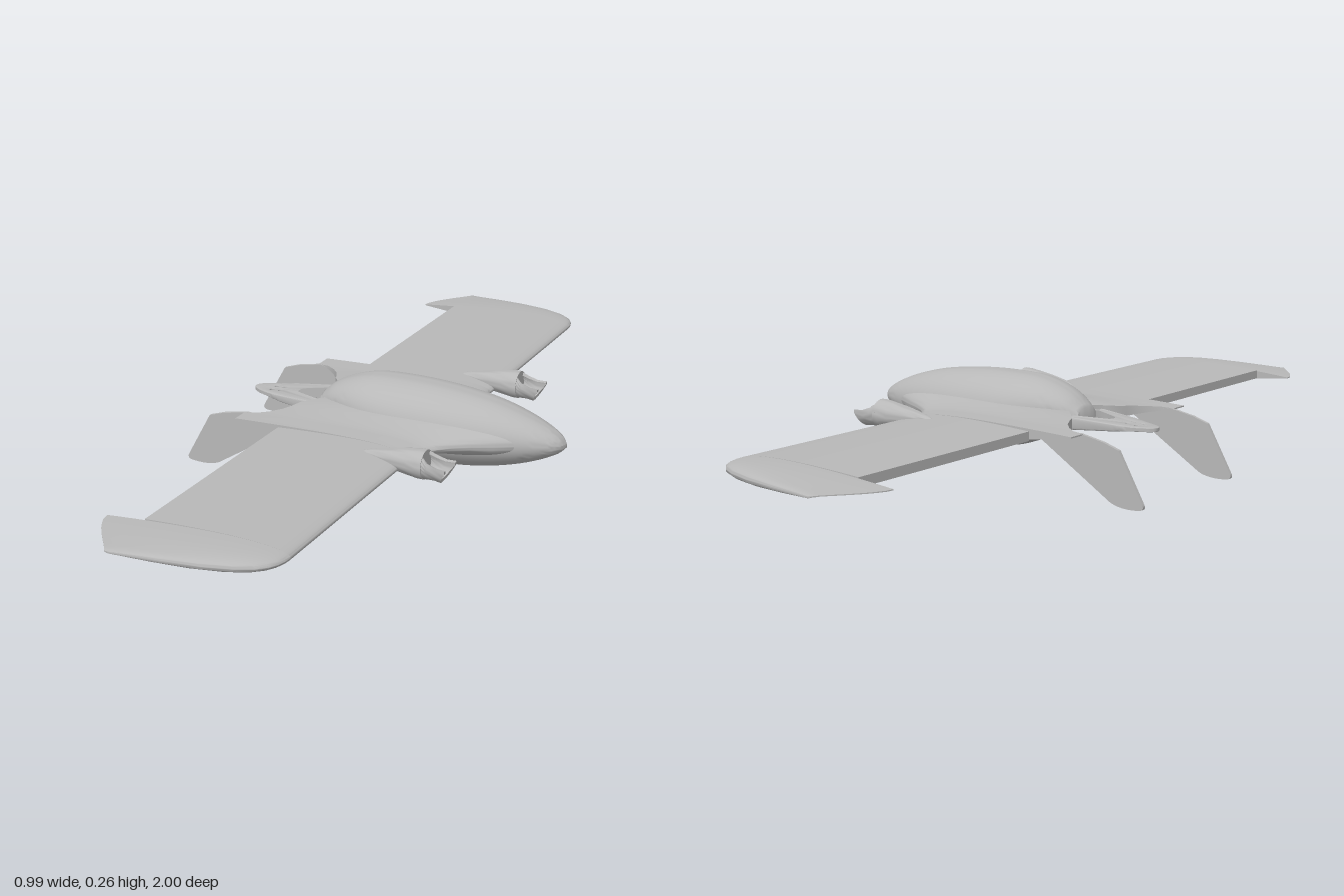
import * as THREE from 'three';
import { toCreasedNormals } from 'three/addons/utils/BufferGeometryUtils.js';

const grey = new THREE.MeshStandardMaterial({ color: 0xb8b8b8 });
grey.name = 'matte grey';

// Skin a list of closed rings of [x, y, z]; both ends are capped with strips.
function loft(rings, crease = 0.7) {
  const n = rings[0].length, pos = rings.flat(2), idx = [];
  for (let r = 0; r < rings.length - 1; r++) {
    for (let i = 0; i < n; i++) {
      const a = r * n + i, b = r * n + (i + 1) % n;
      idx.push(a, b, a + n, b, b + n, a + n);
    }
  }
  const last = (rings.length - 1) * n;
  for (let i = 0; i < n / 2 - 1; i++) {
    const j = n - 1 - i;
    idx.push(i, j, i + 1, i + 1, j, j - 1);
    idx.push(last + i, last + i + 1, last + j, last + i + 1, last + j - 1, last + j);
  }
  // Turn the faces outward whichever way the rings run
  const v = (i) => new THREE.Vector3().fromArray(pos, i * 3);
  let volume = 0;
  for (let i = 0; i < idx.length; i += 3) volume += v(idx[i]).dot(v(idx[i + 1]).cross(v(idx[i + 2])));
  if (volume < 0) idx.reverse();
  const geo = new THREE.BufferGeometry();
  geo.setAttribute('position', new THREE.Float32BufferAttribute(pos, 3));
  geo.setIndex(idx);
  return toCreasedNormals(geo, crease);
}

function part(name, geo, parent) {
  const mesh = new THREE.Mesh(geo, grey);
  mesh.name = name;
  parent.add(mesh);
  return mesh;
}

// Wing section cut off at te; the full profile closes at tail
function wingSection(z, le, te, tail, half, lift, steps = 20) {
  const upper = [], lower = [];
  for (let i = 0; i <= steps; i++) {
    const x = le - (le - te) * (1 - Math.cos((i / steps) * Math.PI / 2));
    const u = Math.min(1, (le - x) / (le - tail));
    const t = 10 * half * (0.2969 * Math.sqrt(u) - 0.126 * u - 0.3516 * u * u + 0.2843 * u ** 3 - 0.1036 * u ** 4);
    const mid = 0.15 + lift * u * u;
    upper.push([x, mid + t + 0.001, z]);
    lower.push([x, mid - t - 0.001, z]);
  }
  return [...upper.reverse(), ...lower];
}

function bodyGeometry() {
  // x, top, bottom, half width
  const stations = [
    [-0.185, 0.186, 0.138, 0.042], [-0.15, 0.215, 0.13, 0.062], [-0.1, 0.238, 0.114, 0.085],
    [-0.04, 0.253, 0.083, 0.106], [0.03, 0.257, 0.061, 0.117], [0.12, 0.256, 0.052, 0.118],
    [0.21, 0.249, 0.052, 0.112], [0.3, 0.235, 0.064, 0.097], [0.38, 0.213, 0.084, 0.075],
    [0.44, 0.189, 0.107, 0.05], [0.475, 0.168, 0.126, 0.027], [0.491, 0.149, 0.142, 0.004],
  ];
  const heights = new THREE.CatmullRomCurve3(stations.map(([x, t, b]) => new THREE.Vector3(x, t, b)));
  const widths = new THREE.CatmullRomCurve3(stations.map(([x, , , w]) => new THREE.Vector3(x, w, 0)));
  const rings = [];
  for (let s = 0; s <= 48; s++) {
    const { x, y: top, z: bottom } = heights.getPoint(s / 48);
    const w = widths.getPoint(s / 48).y;
    const ring = [];
    for (let i = 0; i < 40; i++) {
      const a = (i + 0.5) / 40 * Math.PI * 2;
      ring.push([x, (top + bottom) / 2 + Math.sin(a) * (top - bottom) / 2, Math.cos(a) * w]);
    }
    rings.push(ring);
  }
  return loft(rings, 0.9);
}

// Flat tail frame with a wedge opening and four small holes
function tailGeometry() {
  const s = new THREE.Shape();
  s.moveTo(-0.14, -0.075);
  s.lineTo(-0.19, -0.072);
  s.lineTo(-0.3, -0.052);
  s.bezierCurveTo(-0.36, -0.036, -0.402, -0.022, -0.402, 0);
  s.bezierCurveTo(-0.402, 0.022, -0.36, 0.036, -0.3, 0.052);
  s.lineTo(-0.19, 0.072);
  s.lineTo(-0.14, 0.075);
  const wedge = new THREE.Path();
  wedge.moveTo(-0.265, -0.018);
  wedge.quadraticCurveTo(-0.28, 0, -0.265, 0.018);
  wedge.lineTo(-0.2, 0.046);
  wedge.quadraticCurveTo(-0.165, 0.054, -0.165, 0);
  wedge.quadraticCurveTo(-0.165, -0.054, -0.2, -0.046);
  wedge.closePath();
  s.holes.push(wedge);
  for (const dx of [-1, 1]) for (const dz of [-1, 1]) {
    s.holes.push(new THREE.Path().absarc(-0.333 + dx * 0.013, dz * 0.012, 0.006, 0, Math.PI * 2));
  }
  const geo = new THREE.ExtrudeGeometry(s, {
    depth: 0.022, bevelThickness: 0.005, bevelSize: 0.004, bevelOffset: -0.004, bevelSegments: 3, curveSegments: 14,
  });
  geo.rotateX(Math.PI / 2).translate(0, 0.011, 0);
  const p = geo.attributes.position;
  for (let i = 0; i < p.count; i++) {
    const k = THREE.MathUtils.clamp((p.getX(i) + 0.42) / 0.2, 0.35, 1);
    p.setY(i, 0.155 + p.getY(i) * k);
  }
  return toCreasedNormals(geo, 0.6);
}

// Pod tapering to the rear, ending in a flat firewall
function podGeometry() {
  const rings = [[0.065, 0.002], [0.09, 0.011], [0.12, 0.019], [0.16, 0.027], [0.2, 0.033], [0.23, 0.037], [0.245, 0.037]]
    .map(([x, r]) => Array.from({ length: 28 }, (_, i) => {
      const a = (i + 0.5) / 28 * Math.PI * 2;
      return [x, 0.166 + r * Math.sin(a), r * Math.cos(a)];
    }));
  return loft(rings);
}

// Open trough ahead of the firewall with two side prongs
function troughGeometry() {
  const rings = [0, 0.3, 0.65, 1].map((t) => {
    const outer = [], inner = [];
    const rise = 0.9 * (1 - t) ** 3 + 0.2;
    const r = 0.037 - 0.003 * Math.sin(t * Math.PI);
    for (let i = 0; i <= 18; i++) {
      const a = Math.PI - rise + (i / 18) * (Math.PI + 2 * rise);
      const x = 0.238 + t * (0.07 - 0.02 * Math.max(0, -Math.sin(a)));
      outer.push([x, 0.166 + r * Math.sin(a), r * Math.cos(a)]);
      inner.push([x, 0.166 + (r - 0.009) * Math.sin(a), (r - 0.009) * Math.cos(a)]);
    }
    return [...outer, ...inner.reverse()];
  });
  return loft(rings);
}

function finGeometry() {
  const s = new THREE.Shape();
  s.moveTo(-0.19, 0.142);
  s.lineTo(-0.31, 0.168);
  s.lineTo(-0.38, 0.155);
  s.lineTo(-0.424, 0.141);
  s.lineTo(-0.494, 0.018);
  s.quadraticCurveTo(-0.5, 0.005, -0.483, 0.003);
  s.quadraticCurveTo(-0.43, -0.003, -0.4, 0.012);
  s.closePath();
  const geo = new THREE.ExtrudeGeometry(s, { depth: 0.009, bevelEnabled: false });
  return geo.translate(0, 0, -0.0045);
}

export function createModel() {
  const model = new THREE.Group();
  model.name = 'twinEngineAircraft';
  part('fuselage', bodyGeometry(), model);
  part('tailFrame', tailGeometry(), model);

  // z, leading edge, trailing edge, half thickness
  const root = [
    [0.0, 0.4, -0.16, 0.045], [0.05, 0.405, -0.165, 0.045], [0.075, 0.38, -0.19, 0.044], [0.1, 0.335, -0.212, 0.04],
    [0.125, 0.285, -0.222, 0.034], [0.15, 0.245, -0.235, 0.029], [0.175, 0.217, -0.258, 0.025],
    [0.195, 0.2, -0.285, 0.023], [0.2, 0.198, -0.318, 0.023], [0.225, 0.186, -0.318, 0.022], [0.25, 0.18, -0.318, 0.022],
  ];
  const tip = [
    [0.85, 0.18, -0.293, 0.021], [0.87, 0.178, -0.29, 0.021], [0.89, 0.172, -0.28, 0.02], [0.91, 0.16, -0.268, 0.019],
    [0.93, 0.138, -0.253, 0.017], [0.95, 0.098, -0.237, 0.014], [0.97, 0.03, -0.22, 0.01],
    [0.985, -0.06, -0.208, 0.006], [1.0, -0.185, -0.197, 0.001],
  ];

  for (const [side, label] of [[1, 'left'], [-1, 'right']]) {
    // left of the model's nose direction is mirrored in z
    const wing = new THREE.Group();
    wing.name = side > 0 ? 'nearWing' : 'farWing';
    model.add(wing);
    part('wingRoot', loft(root.map(([z, le, te, h]) => wingSection(side * z, le, te, -0.325, h, 0.016))), wing);
    part('wingPanel', loft([0.25, 0.45, 0.65, 0.85].map((z) =>
      wingSection(side * z, 0.18, -0.192, -0.31, 0.0215, 0.006))), wing);
    part('wingTip', loft(tip.map(([z, le, te, h]) => wingSection(side * z, le, te, te - 0.002, h, 0.003))), wing);

    const engine = new THREE.Group();
    engine.name = 'engineNacelle';
    engine.position.z = side * 0.3;
    wing.add(engine);
    part('enginePod', podGeometry(), engine);
    part('engineTrough', troughGeometry(), engine);

    part('tailFin', finGeometry(), wing).position.z = side * 0.2;
  }
  return model;
}
